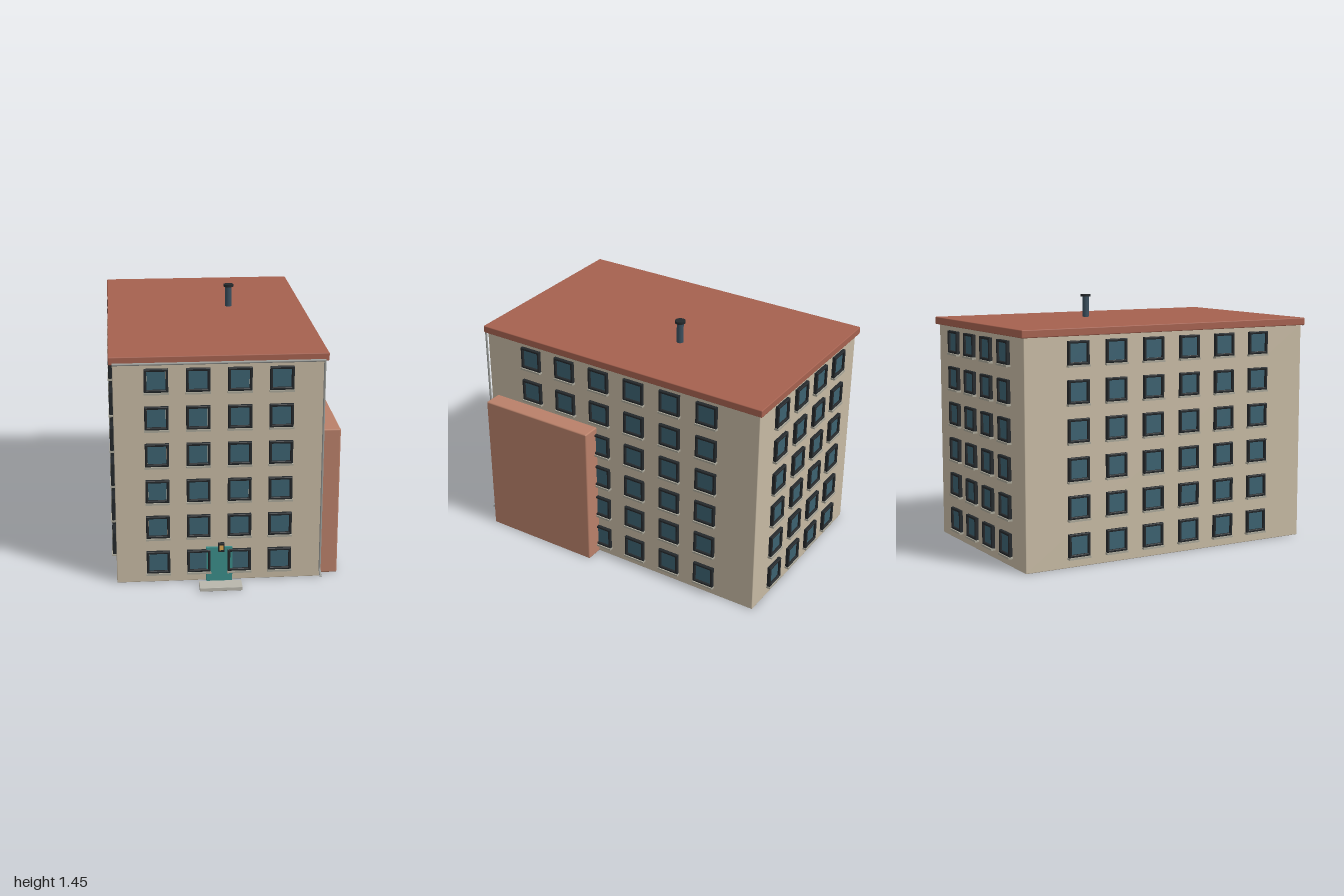
import * as THREE from 'three';
import { RoundedBoxGeometry } from 'three/addons/geometries/RoundedBoxGeometry.js';

const mat = (color) => new THREE.MeshStandardMaterial({ color });
const M = {
  wall: mat(0xc6b9a3), roof: mat(0xa5614f), annex: mat(0xb98069), frame: mat(0x24282b),
  glass: mat(0x3c6170), sill: mat(0xa9a698), door: mat(0x3b8c88), stone: mat(0xb8b6ac),
  pipe: mat(0x9a9c98), chimney: mat(0x3a4f5e), lamp: mat(0xe0a850),
};

function add(parent, name, geometry, material, x = 0, y = 0, z = 0) {
  const mesh = new THREE.Mesh(geometry, material);
  mesh.name = name;
  mesh.position.set(x, y, z);
  parent.add(mesh);
  return mesh;
}

// Box given by its min and max on each axis, with an optional softened edge
function block(parent, name, material, [x0, x1], [y0, y1], [z0, z1], r = 0) {
  const size = [x1 - x0, y1 - y0, z1 - z0];
  const geo = r ? new RoundedBoxGeometry(...size, 2, r) : new THREE.BoxGeometry(...size);
  return add(parent, name, geo, material, (x0 + x1) / 2, (y0 + y1) / 2, (z0 + z1) / 2);
}

// Window frame: square ring with a bevelled edge, back face on z = 0
function frameGeometry() {
  const rect = (C, h) => {
    const s = new C();
    s.moveTo(-h, -h); s.lineTo(h, -h); s.lineTo(h, h); s.lineTo(-h, h); s.closePath();
    return s;
  };
  const shape = rect(THREE.Shape, 0.062);
  shape.holes.push(rect(THREE.Path, 0.054));
  const geo = new THREE.ExtrudeGeometry(shape, {
    depth: 0.016, bevelEnabled: true, bevelSize: 0.003, bevelThickness: 0.003, bevelSegments: 1,
  });
  return geo.translate(0, 0, 0.003);
}

const frameGeo = frameGeometry();
const glassGeo = new THREE.BoxGeometry(0.1, 0.1, 0.012);
const sillGeo = new THREE.BoxGeometry(0.135, 0.011, 0.026);

function makeWindow() {
  const g = new THREE.Group();
  g.name = 'window';
  add(g, 'windowFrame', frameGeo, M.frame);
  add(g, 'windowGlass', glassGeo, M.glass, 0, 0, 0.004);
  add(g, 'windowSill', sillGeo, M.sill, 0, -0.071, 0.013);
  return g;
}

export function createModel() {
  const root = new THREE.Group();
  root.name = 'apartmentBlock';
  const X = [-0.612, 0.525], Z = [-0.974, 0.843];
  const cx = (X[0] + X[1]) / 2, cz = (Z[0] + Z[1]) / 2;

  // Main volume, flat roof slab and side annex
  block(root, 'walls', M.wall, X, [0, 1.27], Z, 0.004);
  block(root, 'roof', M.roof, [-0.632, 0.546], [1.268, 1.311], [-0.994, 0.857], 0.005);
  block(root, 'annex', M.annex, [0.005, 0.63], [0, 0.86], [0.08, 0.802], 0.008);

  // Windows: each facade is a group facing outwards with a regular grid
  const facades = [
    ['frontWindows', cx, Z[1], 0, 4, 0.225],
    ['backWindows', cx, Z[0], Math.PI, 4, 0.225],
    ['leftWindows', X[1], cz, Math.PI / 2, 6, 0.236],
    ['rightWindows', X[0], cz, -Math.PI / 2, 6, 0.236],
  ];
  for (const [name, x, z, turn, columns, pitch] of facades) {
    const facade = new THREE.Group();
    facade.name = name;
    facade.position.set(x, 0, z);
    facade.rotation.y = turn;
    for (let row = 0; row < 6; row++) {
      for (let col = 0; col < columns; col++) {
        const w = makeWindow();
        w.position.set((col - (columns - 1) / 2) * pitch, 0.124 + row * 0.2107, 0);
        facade.add(w);
      }
    }
    root.add(facade);
  }

  // Entrance: door, detached step and lantern
  block(root, 'door', M.door, [-0.115, 0.03], [0, 0.202], [0.83, 0.858]);
  block(root, 'entranceStep', M.stone, [-0.16, 0.076], [0, 0.021], [0.9, 0.991], 0.002);
  block(root, 'lanternCase', M.frame, [-0.06, -0.026], [0.237, 0.29], [0.981, 0.997], 0.003);
  block(root, 'lanternLight', M.lamp, [-0.053, -0.033], [0.25, 0.277], [0.985, 1.0]);

  // Gutter under the front eave and downpipe with an outward kick at its foot
  const gutter = add(root, 'gutter', new THREE.CylinderGeometry(0.007, 0.007, 1.14, 10),
    M.pipe, cx, 1.271, 0.859);
  gutter.rotation.z = Math.PI / 2;
  const path = new THREE.CurvePath();
  const p = [[0.522, 1.271, 0.861], [0.522, 0.05, 0.861], [0.522, 0.022, 0.9]]
    .map((v) => new THREE.Vector3(...v));
  path.add(new THREE.LineCurve3(p[0], p[1]));
  path.add(new THREE.LineCurve3(p[1], p[2]));
  add(root, 'downpipe', new THREE.TubeGeometry(path, 60, 0.006, 8), M.pipe).material =
    new THREE.MeshStandardMaterial({ color: 0x9a9c98, side: THREE.DoubleSide });

  // Chimney pipe and cap
  add(root, 'chimney', new THREE.CylinderGeometry(0.02, 0.02, 0.13, 16), M.chimney, 0.1, 1.37, -0.215);
  add(root, 'chimneyCap', new THREE.CylinderGeometry(0.03, 0.03, 0.014, 16), M.frame, 0.1, 1.438, -0.215);

  return root;
}
